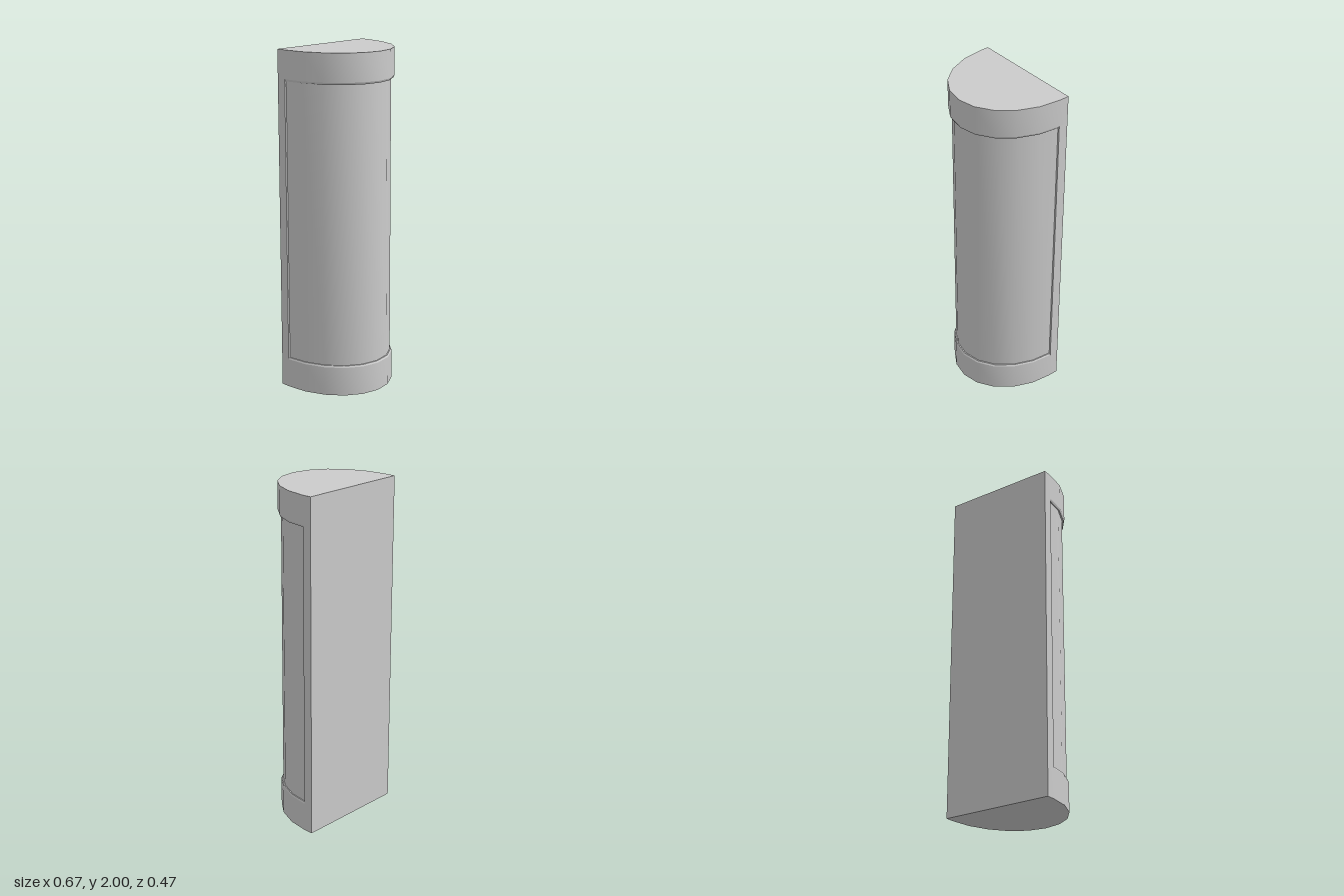
import * as THREE from 'three';
import { toCreasedNormals } from 'three/addons/utils/BufferGeometryUtils.js';

const BACK = -0.235, SEAM = -0.178;
// right half of the rounded front, from the flat back edge to the nose: [x, z]
const ARC = [[0.337, SEAM], [0.321, -0.055], [0.273, 0.062], [0.2, 0.153], [0.105, 0.212], [0, 0.232]];

export function createModel() {
  const group = new THREE.Group();
  const material = new THREE.MeshStandardMaterial({ color: 0xcccccc });

  // half-round slab; [sx, sz] scale the curve about the seam at each end
  function slab(name, y0, y1, bottom, top, back = SEAM) {
    const half = back < SEAM ? [[ARC[0][0], back], ...ARC] : ARC;
    const mirrored = half.slice(0, -1).reverse().map(([x, z]) => [-x, z]);
    const shape = new THREE.Shape([...half, ...mirrored].map(([x, z]) => new THREE.Vector2(x, -z)));
    const geo = new THREE.ExtrudeGeometry(shape, { depth: y1 - y0, bevelEnabled: false });
    geo.rotateX(-Math.PI / 2).translate(0, y0, 0);
    const p = geo.attributes.position;
    for (let i = 0; i < p.count; i++) {
      const [sx, sz] = p.getY(i) < (y0 + y1) / 2 ? bottom : top;
      p.setX(i, p.getX(i) * sx);
      p.setZ(i, SEAM + (p.getZ(i) - SEAM) * sz);
    }
    const mesh = new THREE.Mesh(toCreasedNormals(geo, 0.55), material);
    mesh.name = name;
    group.add(mesh);
  }

  const full = [1, 1], lip = [0.985, 0.985];
  // end caps with a small chamfered lip facing the panel
  slab('bottomCap', 0, 0.172, full, full, BACK);
  slab('bottomCapLip', 0.172, 0.182, full, lip);
  slab('topCapLip', 1.825, 1.837, lip, full);
  slab('topCap', 1.837, 2, full, full, BACK);
  // recessed front panel, leaning back slightly towards the top
  slab('frontPanel', 0.18, 1.828, [0.968, 0.968], [0.968, 0.942]);

  // flat plate behind the panel
  const plate = new THREE.Mesh(new THREE.BoxGeometry(0.674, 1.665, SEAM - BACK), material);
  plate.name = 'backPlate';
  plate.position.set(0, 1.0045, (SEAM + BACK) / 2);
  group.add(plate);
  return group;
}
